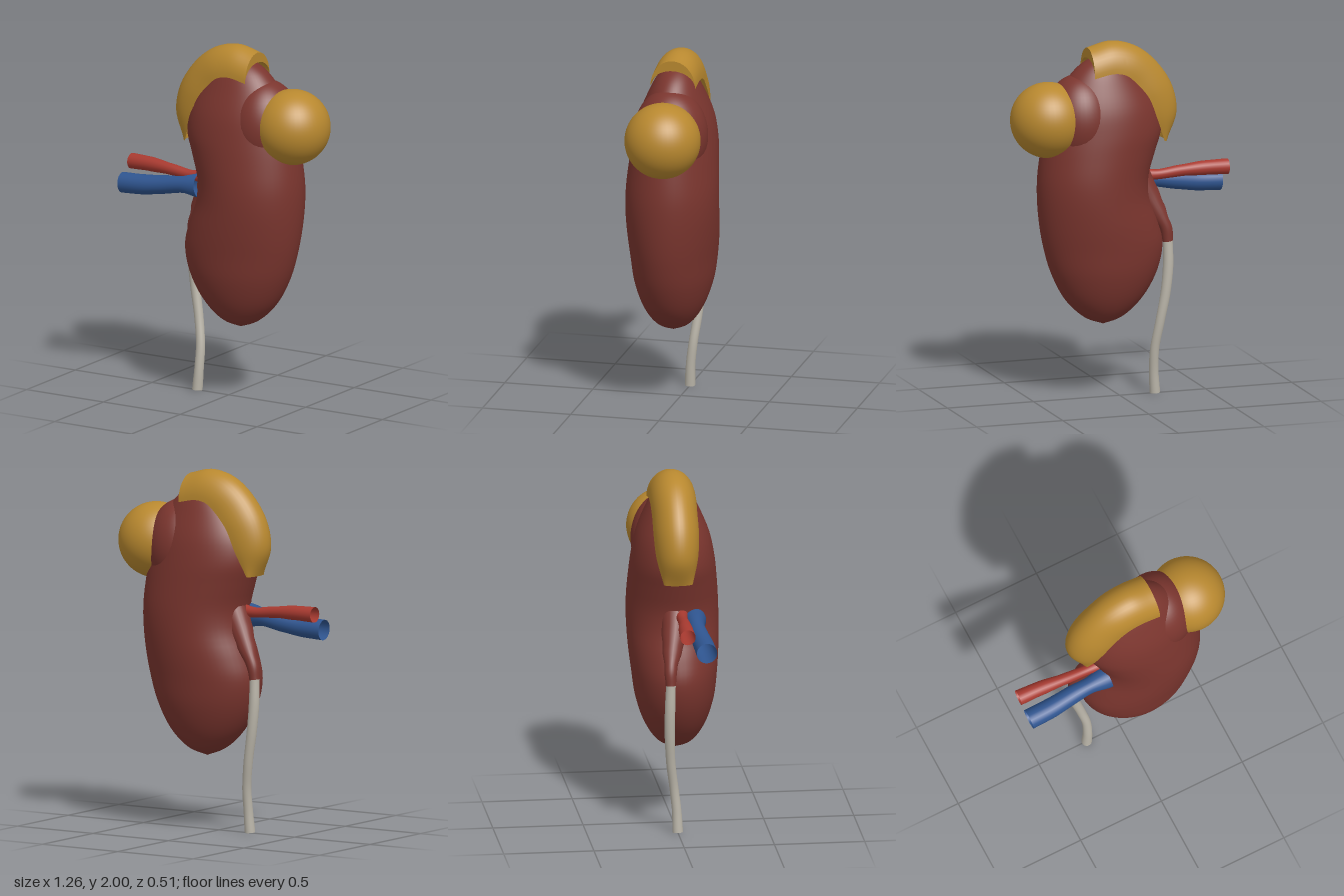
import * as THREE from 'three';
import { toCreasedNormals } from 'three/addons/utils/BufferGeometryUtils.js';

const V = (x, y, z) => new THREE.Vector3(x, y, z);

function paint(name, color, side = THREE.FrontSide) {
  const m = new THREE.MeshStandardMaterial({ color, side });
  m.name = name;
  return m;
}

// Skin over a list of closed rings, each an array of Vector3
function loft(rings) {
  const n = rings[0].length;
  const index = [];
  for (let i = 0; i < rings.length - 1; i++) {
    for (let j = 0; j < n; j++) {
      const k = (j + 1) % n;
      const a = i * n + j, b = (i + 1) * n + j, c = (i + 1) * n + k, d = i * n + k;
      index.push(a, b, d, b, c, d);
    }
  }
  const g = new THREE.BufferGeometry().setFromPoints(rings.flat());
  g.setIndex(index);
  g.computeVertexNormals();
  return g;
}

// Open tube whose radius follows a list of values along the path
function vessel(points, radii, steps = 40, sides = 24) {
  const curve = new THREE.CatmullRomCurve3(points.map(p => V(...p)));
  const g = new THREE.TubeGeometry(curve, steps, 1, sides);
  const pos = g.attributes.position;
  const v = V(0, 0, 0);
  for (let i = 0; i <= steps; i++) {
    const u = i / steps;
    const c = curve.getPointAt(u);
    const f = u * (radii.length - 1);
    const k = Math.min(Math.floor(f), radii.length - 2);
    const r = THREE.MathUtils.lerp(radii[k], radii[k + 1], THREE.MathUtils.smoothstep(f - k, 0, 1));
    for (let j = 0; j <= sides; j++) {
      const id = i * (sides + 1) + j;
      v.fromBufferAttribute(pos, id).sub(c).multiplyScalar(r).add(c);
      pos.setXYZ(id, v.x, v.y, v.z);
    }
  }
  return g;
}

// Bean body: elliptical rings strung between the inner and outer outlines
function bodyGeometry() {
  const inner = new THREE.CatmullRomCurve3([
    [.09, .405], [-.02, .45], [-.13, .55], [-.215, .7], [-.245, .85], [-.215, .98], [-.165, 1.12], [-.16, 1.24],
    [-.2, 1.38], [-.235, 1.5], [-.215, 1.63], [-.14, 1.76], [-.05, 1.86], [.02, 1.915], [.08, 1.93],
  ].map(p => V(p[0], p[1], 0)));
  const outer = new THREE.CatmullRomCurve3([
    [.09, .405, 0], [.2, .45, .095], [.305, .55, .165], [.385, .7, .215], [.43, .85, .235], [.453, .98, .248],
    [.465, 1.12, .254], [.465, 1.24, .253], [.45, 1.38, .243], [.43, 1.5, .23], [.395, 1.63, .205],
    [.325, 1.76, .155], [.24, 1.86, .105], [.16, 1.91, .055], [.08, 1.93, 0],
  ].map(p => V(...p)));
  const rings = [], rows = 84, sides = 56;
  for (let i = 0; i <= rows; i++) {
    // Rows crowd together towards both poles
    const u = (1 - Math.cos(Math.PI * i / rows)) / 2;
    const l = inner.getPoint(u), r = outer.getPoint(u);
    const depth = Math.max(r.z, 0), shift = .02 * (1 - u);
    rings.push(Array.from({ length: sides }, (_, j) => {
      const a = j / sides * Math.PI * 2, c = (1 + Math.cos(a)) / 2;
      return V(l.x + (r.x - l.x) * c, l.y + (r.y - l.y) * c, shift + depth * Math.sin(a));
    }));
  }
  return loft(rings);
}

// Curved cap: crescent sections swept from the inner side over the top
function capGeometry() {
  const crest = new THREE.CatmullRomCurve3([
    [-.265, 1.43], [-.325, 1.58], [-.3, 1.73], [-.21, 1.87], [-.09, 1.965], [.05, 2], [.185, 1.97],
  ].map(p => V(p[0], p[1], 0)));
  // z holds the half width
  const edge = new THREE.CatmullRomCurve3([
    [-.235, 1.43, .08], [-.18, 1.57, .115], [-.13, 1.69, .125], [-.06, 1.775, .125],
    [0, 1.825, .127], [.07, 1.84, .127], [.185, 1.82, .127],
  ].map(p => V(...p)));
  const rings = [], rows = 40, n = 20;
  for (let i = 0; i <= rows; i++) {
    const o = crest.getPoint(i / rows), e = edge.getPoint(i / rows);
    const at = (t, h) => V(e.x + (o.x - e.x) * Math.sin(t) * h, e.y + (o.y - e.y) * Math.sin(t) * h, e.z * Math.cos(t));
    rings.push(Array.from({ length: 2 * n }, (_, j) =>
      j <= n ? at(j / n * Math.PI, 1) : at((2 * n - j) / n * Math.PI, .62)));
  }
  // Both ends close along the middle of the crescent
  const shut = ring => ring.map((p, j) => p.clone().add(ring[(2 * n - j) % (2 * n)]).multiplyScalar(.5));
  return toCreasedNormals(loft([shut(rings[0]), ...rings, shut(rings[rows])]), .7);
}

export function createModel() {
  const flesh = paint('brownRed', 0x7a352e, THREE.DoubleSide);
  const gold = paint('gold', 0xb8882f, THREE.DoubleSide);
  const red = paint('arteryRed', 0xa83a30, THREE.DoubleSide);
  const blue = paint('veinBlue', 0x2f5590, THREE.DoubleSide);
  const pale = paint('paleGrey', 0xbab5a9, THREE.DoubleSide);

  const model = new THREE.Group();
  model.name = 'kidney';
  const add = (name, geometry, material) => {
    const mesh = new THREE.Mesh(geometry, material);
    mesh.name = name;
    model.add(mesh);
    return mesh;
  };

  add('body', bodyGeometry(), flesh);
  add('adrenalCap', capGeometry(), gold);

  // Round growth and the low swelling around its base
  add('growth', new THREE.SphereGeometry(.21, 48, 32), gold).position.set(.415, 1.58, 0);
  const collar = add('growthCollar', new THREE.SphereGeometry(1, 48, 32), flesh);
  collar.scale.set(.2, .265, .208);
  collar.position.set(.235, 1.56, 0);

  // Vessels entering the notch
  add('artery', vessel(
    [[-.63, 1.243, .005], [-.5, 1.243, .01], [-.36, 1.235, .02], [-.22, 1.222, .025], [-.1, 1.23, .03]],
    [.043, .04, .032, .028, .04]), red);
  add('vein', vessel(
    [[-.62, 1.145, .112], [-.48, 1.152, .11], [-.32, 1.172, .1], [-.2, 1.188, .1], [-.125, 1.193, .1]],
    [.057, .056, .052, .046, .066]), blue);

  // Funnel narrowing into the long drain tube
  add('funnel', vessel(
    [[-.1, 1.22, 0], [-.155, 1.12, -.015], [-.215, 1.01, -.035], [-.255, .93, -.045], [-.265, .86, -.045]],
    [.08, .07, .055, .036, .029]), flesh);
  add('ureter', vessel(
    [[-.265, .865, -.045], [-.265, .72, -.05], [-.25, .57, -.05], [-.22, .4, -.04], [-.197, .25, -.02],
      [-.197, .12, -.005], [-.205, 0, 0]],
    [.027, .029, .028, .026, .025, .026, .029]), pale);

  return model;
}
